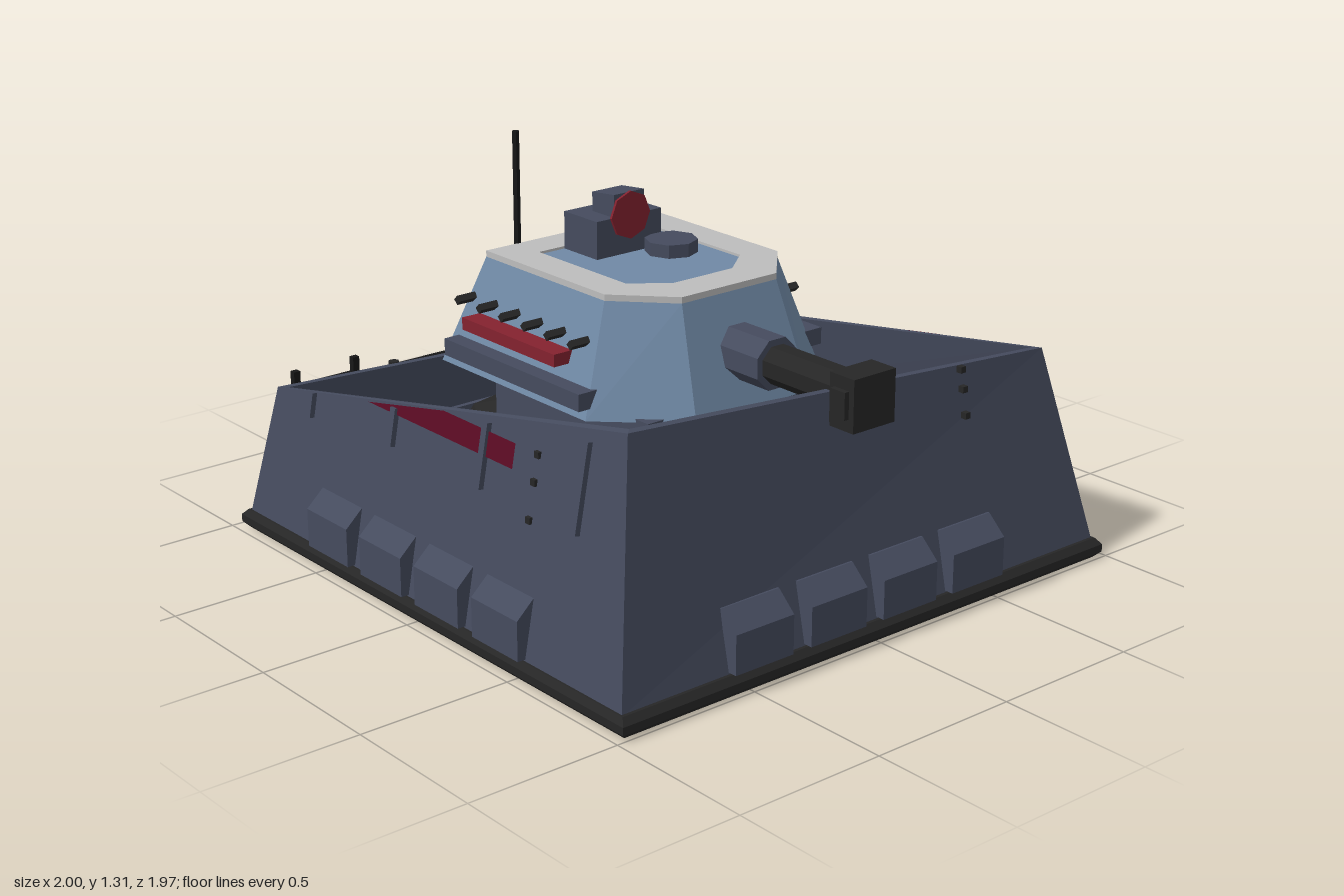
import * as THREE from 'three';

const mat = (name, color, side = THREE.FrontSide) => {
  const m = new THREE.MeshStandardMaterial({ color, side, flatShading: true });
  m.name = name;
  return m;
};

export function createModel() {
  const root = new THREE.Group();
  const hull = mat('slate hull', 0x454b5e);
  const dark = mat('charcoal', 0x262626);
  const black = mat('black', 0x171717);
  const blue = mat('steel blue', 0x7089a5);
  const pale = mat('pale grey', 0xbdbdbd);
  const grey = mat('floor grey', 0x717171);
  const red = mat('red', 0x84222f);
  const maroon = mat('maroon', 0x5c0c24, THREE.DoubleSide);

  const add = (name, geo, m, x = 0, y = 0, z = 0, parent = root) => {
    const mesh = new THREE.Mesh(geo, m);
    mesh.name = name;
    mesh.position.set(x, y, z);
    parent.add(mesh);
    return mesh;
  };
  // box given by its minimum and maximum in each axis
  const box = (name, m, x0, x1, y0, y1, z0, z1) =>
    add(name, new THREE.BoxGeometry(x1 - x0, y1 - y0, z1 - z0), m,
      (x0 + x1) / 2, (y0 + y1) / 2, (z0 + z1) / 2);
  // faceted surface through rings of [x, y, z] corners, optionally capped
  const loft = (rings, bottom = true, top = true) => {
    const p = [];
    const tri = (...v) => v.forEach((q) => p.push(...q));
    for (let r = 0; r + 1 < rings.length; r++) {
      const a = rings[r], b = rings[r + 1], n = a.length;
      for (let i = 0; i < n; i++) {
        const j = (i + 1) % n;
        tri(a[i], a[j], b[j]);
        tri(a[i], b[j], b[i]);
      }
    }
    const lo = rings[0], hi = rings[rings.length - 1];
    for (let i = 1; i + 1 < lo.length; i++) {
      if (bottom) tri(lo[0], lo[i + 1], lo[i]);
      if (top) tri(hi[0], hi[i], hi[i + 1]);
    }
    const g = new THREE.BufferGeometry();
    g.setAttribute('position', new THREE.Float32BufferAttribute(p, 3));
    g.computeVertexNormals();
    return g;
  };
  const rect = (x0, x1, z, y) => [[x0, y, z], [x1, y, z], [x1, y, -z], [x0, y, -z]];

  // plinth and underside feet
  add('plinth', loft([
    rect(-0.95, 0.98, 0.96, 0), rect(-0.97, 1, 0.98, 0.02),
    rect(-0.97, 1, 0.98, 0.045), rect(-0.95, 0.98, 0.965, 0.065),
    rect(-0.9, 0.93, 0.92, 0.065), rect(-0.9, 0.93, 0.92, 0),
    rect(-0.95, 0.98, 0.96, 0),
  ], false, false), dark);
  box('undersidePlate', black, -0.92, 0.95, 0.04, 0.075, -0.94, 0.94);
  for (const sx of [-1, 1]) for (const sz of [-1, 1]) {
    add('foot', new THREE.CylinderGeometry(0.055, 0.055, 0.045, 6), dark, 0.015 + sx * 0.67, 0.025, sz * 0.67);
    const gusset = add('undersideGusset', new THREE.BoxGeometry(0.22, 0.012, 0.06), hull, 0.015 + sx * 0.84, 0.03, sz * 0.84);
    gusset.rotation.y = sx * sz * Math.PI / 4;
  }

  // leaning walls with a sloping rim
  const rim = [[-0.87, 0.49, 0.88], [0.83, 0.81, 0.82], [0.83, 0.69, -0.84], [-0.89, 0.4, -0.9]];
  const t = 0.025;
  const inset = ([x, y, z]) => [x - Math.sign(x) * t, y, z - Math.sign(z) * t];
  const foot = rect(-0.94, 0.97, 0.96, 0.06);
  add('walls', loft([foot, rim, rim.map(inset), foot.map(inset)], false, false), hull);

  // floor: grey octagonal plate with dark gaps
  const floor = new THREE.Shape([[-0.6, 0.88], [0.66, 0.83], [0.69, 0.7], [0.69, -0.7], [0.6, -0.82],
    [-0.6, -0.82], [-0.84, -0.62], [-0.84, 0.65]].map(([x, y]) => new THREE.Vector2(x, y)));
  const plate = add('floorPlate', new THREE.ShapeGeometry(floor), grey, 0, 0.085, 0);
  plate.rotation.x = -Math.PI / 2;
  box('floorGapBack', dark, -0.08, 0.07, 0.08, 0.09, -0.84, -0.5);
  box('floorGapFront', dark, -0.08, 0.07, 0.08, 0.09, 0.67, 0.74);
  box('floorGapLeft', dark, -0.84, -0.7, 0.08, 0.09, -0.68, -0.55);
  box('floorGapRight', dark, -0.77, -0.7, 0.08, 0.09, -0.08, 0.05);
  box('floorGapSide', dark, 0.62, 0.7, 0.08, 0.09, -0.4, 0.1);

  // braces across the inside corners
  for (const [x, z, w] of [[-0.73, -0.76, 0.32], [-0.73, 0.74, 0.3], [0.74, -0.74, 0.2], [0.74, 0.74, 0.2]]) {
    const brace = add('cornerBrace', new THREE.BoxGeometry(w, 0.22, 0.06), hull, x, 0.19, z);
    brace.rotation.y = x * z > 0 ? Math.PI / 4 : -Math.PI / 4;
  }

  // faceted boulders packed inside
  const darkOnes = ['2,0', '0,2', '2,3', '3,2', '1,1'];
  const stone = new THREE.SphereGeometry(0.215, 7, 4);
  for (let i = 0; i < 4; i++) for (let k = 0; k < 4; k++) {
    const b = add('boulder', stone, darkOnes.includes(i + ',' + k) ? dark : hull,
      -0.54 + i * 0.355, 0.21, -0.53 + k * 0.355);
    b.scale.y = 0.85;
    b.rotation.set(0.25 * Math.sin(i * 5 + k), i * 1.3 + k * 2.1, 0.25 * Math.cos(i + k * 3));
  }

  // pedestal and deck below the turret
  box('pedestal', hull, -0.4, 0.36, 0.08, 0.59, -0.36, 0.36);
  box('sideDeck', hull, 0.2, 0.55, 0.08, 0.42, -0.5, 0.02);
  box('backDeck', hull, -0.33, -0.06, 0.08, 0.4, -0.6, -0.3);

  // wedge blocks around the foot of the walls
  const wedge = new THREE.ExtrudeGeometry(new THREE.Shape(
    [[0.88, 0.07], [0.985, 0.07], [0.985, 0.195], [0.92, 0.255], [0.88, 0.255]].map(([x, y]) => new THREE.Vector2(x, y))),
  { depth: 0.22, bevelEnabled: false }).translate(0, 0, -0.11);
  for (let s = 0; s < 4; s++) {
    const side = new THREE.Group();
    side.name = 'wedgeBlocks';
    side.position.x = 0.013;
    side.rotation.y = s * Math.PI / 2;
    for (const z of [0.46, 0.17, -0.12, -0.41]) add('wedgeBlock', wedge, hull, 0, 0, z, side);
    root.add(side);
  }

  // wall ribs, studs and painted stripes
  const wallZ = (y) => 0.96 - 0.187 * (y - 0.06);
  for (const s of [1, -1]) {
    const drop = s > 0 ? 0 : 0.1;
    for (const [x, top] of [[-0.66, 0.53], [-0.22, 0.6], [0.23, 0.68], [0.68, 0.75]]) {
      const lo = (x < -0.5 ? 0.45 : 0.48) - drop, hi = top - drop, y = (lo + hi) / 2;
      const rib = add('wallRib', new THREE.BoxGeometry(0.025, hi - lo, 0.025), hull, x, y, s * (wallZ(y) + 0.005));
      rib.rotation.x = -s * 0.185;
    }
    for (const y of [0.46, 0.57, 0.65]) add('stud', new THREE.BoxGeometry(0.02, 0.02, 0.02), dark, s * 0.47, y - drop * 2, s * wallZ(y - drop * 2));
    const pts = s > 0 ? [[-0.36, 0.58], [0.37, 0.58], [0.37, 0.655], [0.02, 0.655]]
      : [[0.22, 0.565], [0.37, 0.565], [0.37, 0.61], [0.22, 0.585]];
    const ring = pts.map(([x, y]) => [x, y, s * (wallZ(y) + 0.008)]);
    add('wallStripe', loft([ring], false, true), maroon);
  }
  for (const y of [0.57, 0.65, 0.71]) add('stud', new THREE.BoxGeometry(0.02, 0.02, 0.02), dark, wallZ(y) + 0.01, y, -0.46);

  // door panel, posts and ladder on the low side
  box('doorPanel', black, -0.965, -0.935, 0.06, 0.43, -0.2, 0.35);
  for (const z of [-0.6, 0.42]) add('post', new THREE.CylinderGeometry(0.018, 0.018, 0.1, 8), dark, -0.89, 0.42, z);
  for (const z of [0.51, 0.74]) box('ladderRail', black, -1, -0.978, 0, 0.48, z - 0.012, z + 0.012);
  for (let i = 0; i < 4; i++) box('ladderRung', black, -0.998, -0.98, 0.08 + i * 0.11, 0.1 + i * 0.11, 0.51, 0.74);

  // turret shell and rimmed roof
  const hexa = (x0, xc, x1, z, zc, y) =>
    [[x0, y, z], [xc, y, z], [x1, y, zc], [x1, y, -zc], [xc, y, -z], [x0, y, -z]];
  const roofOut = [-0.45, 0.145, 0.315, 0.35, 0.19];
  const roofIn = [-0.33, 0.1, 0.19, 0.232, 0.12];
  add('turretShell', loft([hexa(-0.535, 0.2, 0.43, 0.47, 0.23, 0.58), hexa(...roofOut, 0.92)]), blue);
  add('roofRim', loft([hexa(...roofOut, 0.92), hexa(...roofOut, 0.94), hexa(...roofIn, 0.94), hexa(...roofIn, 0.92)], false, false), pale);
  add('roofPanel', loft([hexa(...roofIn, 0.925), hexa(...roofIn, 0.932)]), blue);

  // turret side bands and vision pegs
  for (const s of [1, -1]) {
    const zs = (a, b) => (s > 0 ? [a, b] : [-b, -a]);
    box('turretStripe', red, -0.41, 0.06, 0.715, 0.755, ...zs(0.4, 0.478));
    box('turretSkirt', hull, -0.485, 0.2, 0.615, 0.67, ...zs(0.42, 0.495));
    for (let i = 0; i < 6; i++) {
      const peg = add('visionPeg', new THREE.BoxGeometry(0.022, 0.022, 0.07), dark, -0.46 + i * 0.115, 0.795, s * 0.425);
      peg.rotation.z = Math.PI / 4;
    }
  }

  // roof fittings: hatch, periscope housing and aerial
  add('hatch', new THREE.CylinderGeometry(0.085, 0.085, 0.05, 8), hull, -0.09, 0.95, -0.11);
  box('periscopeBase', hull, -0.33, -0.165, 0.92, 1.055, -0.13, 0.13);
  add('periscopeHead', loft([rect(-0.275, -0.165, 0.06, 1.05),
    [[-0.275, 1.118, 0.06], [-0.165, 1.13, 0.06], [-0.165, 1.13, -0.06], [-0.275, 1.118, -0.06]]]), hull);
  const lens = add('periscopeLens', new THREE.CylinderGeometry(0.078, 0.078, 0.009, 8), red, -0.16, 1.057, 0);
  lens.rotation.set(0, 0, -Math.PI / 2);
  add('aerial', new THREE.CylinderGeometry(0.012, 0.012, 0.375, 6), black, -0.458, 1.118, 0.22);

  // gun
  const tube = (name, m, r, x0, x1) => {
    add(name, new THREE.CylinderGeometry(r, r, x1 - x0, 8).rotateY(Math.PI / 8).rotateZ(Math.PI / 2), m, (x0 + x1) / 2, 0.745, 0);
  };
  tube('gunCollar', hull, 0.085, 0.3, 0.53);
  tube('gunBarrel', dark, 0.063, 0.5, 0.87);
  box('muzzleBlock', dark, 0.845, 0.945, 0.66, 0.825, -0.083, 0.083);
  box('muzzleCheeks', dark, 0.865, 0.925, 0.7, 0.785, -0.1, 0.1);

  return root;
}
